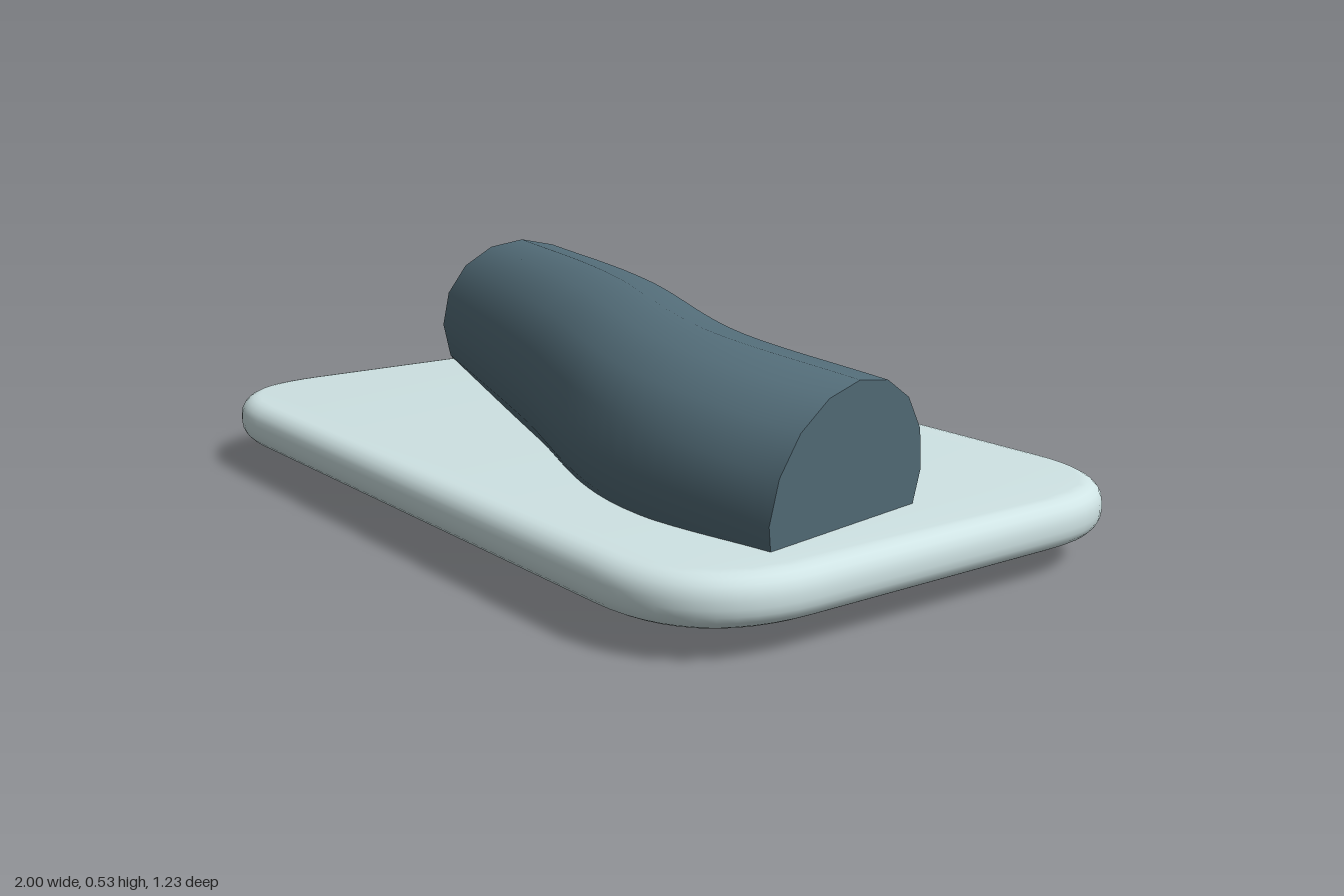
import * as THREE from 'three';
import { toCreasedNormals } from 'three/addons/utils/BufferGeometryUtils.js';

const HALF_X = 1, HALF_Z = 0.615, BEVEL = 0.045;
const PLATE_BOTTOM = 0.067, PLATE_TOP = 0.172;
const RADIUS = 0.23, SIDES = 16, STEPS = 48;

// Rounded rectangle, already inset by the bevel
function plateOutline() {
  const x = HALF_X - BEVEL, z = HALF_Z - BEVEL, r = 0.25;
  const s = new THREE.Shape();
  s.moveTo(-x + r, -z);
  s.lineTo(x - r, -z);
  s.quadraticCurveTo(x, -z, x, -z + r);
  s.lineTo(x, z - r);
  s.quadraticCurveTo(x, z, x - r, z);
  s.lineTo(-x + r, z);
  s.quadraticCurveTo(-x, z, -x, z - r);
  s.lineTo(-x, -z + r);
  s.quadraticCurveTo(-x, -z, -x + r, -z);
  return s;
}

// Flat disc closing one ring of the tube
function endCap(tube, ring, flip) {
  const pos = tube.attributes.position;
  const points = [], index = [];
  for (let j = 0; j < SIDES; j++) {
    points.push(new THREE.Vector3().fromBufferAttribute(pos, ring * (SIDES + 1) + j));
  }
  for (let j = 1; j < SIDES - 1; j++) {
    index.push(0, flip ? j + 1 : j, flip ? j : j + 1);
  }
  const geo = new THREE.BufferGeometry().setFromPoints(points);
  geo.setIndex(index);
  geo.computeVertexNormals();
  return geo;
}

export function createModel() {
  const model = new THREE.Group();
  const add = (name, geometry, material, parent = model) => {
    const mesh = new THREE.Mesh(geometry, material);
    mesh.name = name;
    parent.add(mesh);
    return mesh;
  };
  const plateMaterial = new THREE.MeshStandardMaterial({ color: 0xcfe3e4 });
  const tubeMaterial = new THREE.MeshStandardMaterial({ color: 0x546e7a });

  // Base plate with rounded rim
  const plate = new THREE.ExtrudeGeometry(plateOutline(), {
    depth: PLATE_TOP - PLATE_BOTTOM - 2 * BEVEL,
    bevelEnabled: true, bevelThickness: BEVEL, bevelSize: BEVEL,
    bevelSegments: 5, curveSegments: 12,
  });
  plate.rotateX(-Math.PI / 2);
  plate.translate(0, PLATE_BOTTOM + BEVEL, 0);
  add('basePlate', toCreasedNormals(plate, 0.7), plateMaterial);

  // Bent cylinder lying across the plate and sinking through it at both ends
  const path = new THREE.CatmullRomCurve3([
    new THREE.Vector3(-0.92, 0.262, -0.302),
    new THREE.Vector3(0, 0.305, 0.045),
    new THREE.Vector3(0.5, 0.276, 0.188),
    new THREE.Vector3(0.865, 0.233, 0.128),
  ]);
  const roll = new THREE.Group();
  roll.name = 'bentRoll';
  model.add(roll);
  const tube = new THREE.TubeGeometry(path, STEPS, RADIUS, SIDES, false);
  add('rollBody', tube, tubeMaterial, roll);
  add('rollRightEnd', endCap(tube, 0, false), tubeMaterial, roll);
  add('rollLeftEnd', endCap(tube, STEPS, true), tubeMaterial, roll);

  return model;
}
